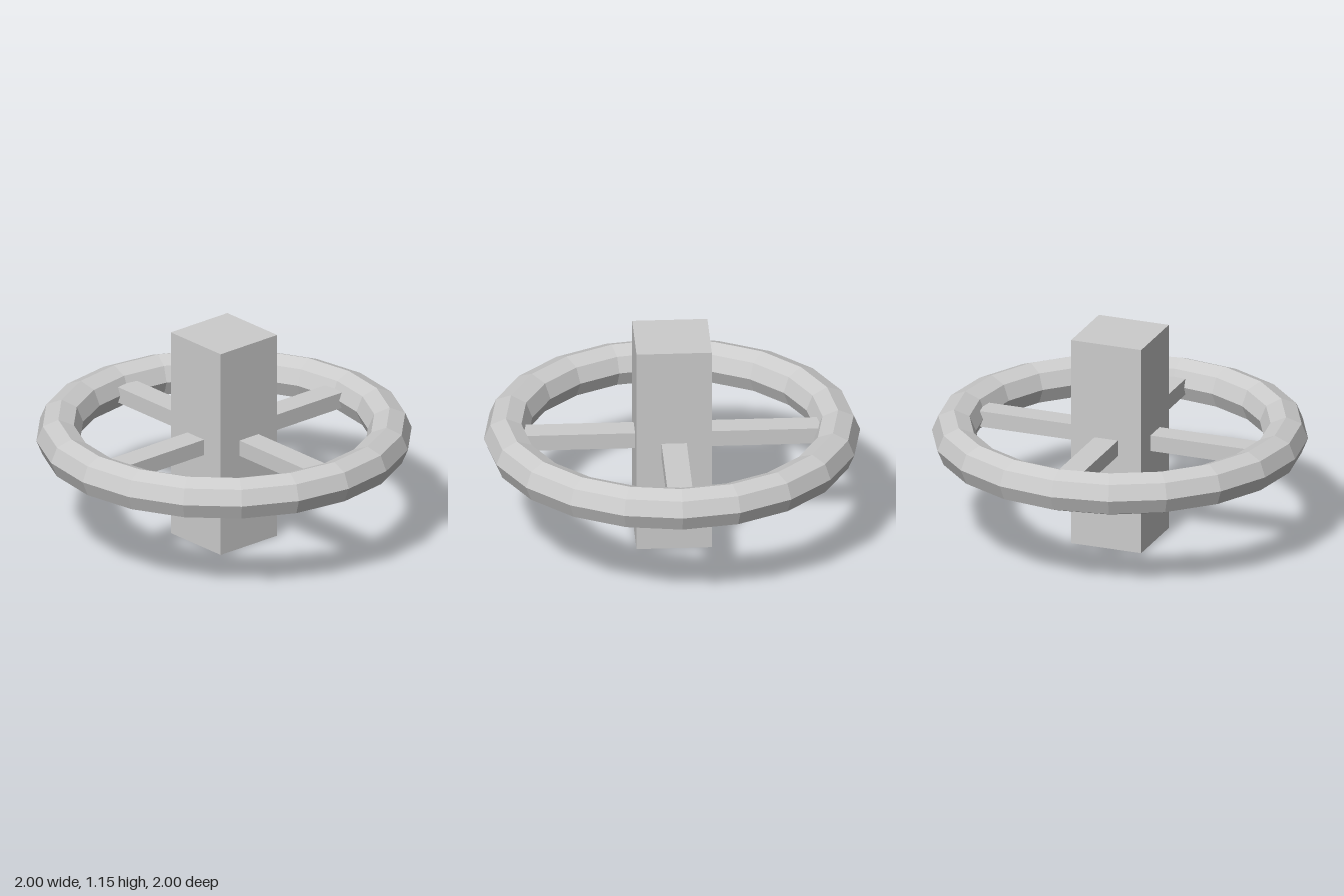
import * as THREE from 'three';

export function createModel() {
  const model = new THREE.Group();
  model.name = 'spokedRing';
  const grey = new THREE.MeshStandardMaterial({ color: 0xcccccc, flatShading: true });
  grey.name = 'light grey';

  const height = 1.155;
  const midY = height / 2;
  const tube = 0.117;
  const ringRadius = 1 - tube;

  const add = (name, geometry, parent = model) => {
    const mesh = new THREE.Mesh(geometry, grey);
    mesh.name = name;
    parent.add(mesh);
    return mesh;
  };

  // Square central column
  add('column', new THREE.BoxGeometry(0.4, height, 0.4)).position.y = midY;

  // Faceted ring lying flat around the column
  const ring = add('ring', new THREE.TorusGeometry(ringRadius, tube, 8, 20).rotateX(Math.PI / 2));
  ring.position.y = midY;

  // Four spokes running from just inside the column into the ring
  const spokes = new THREE.Group();
  spokes.name = 'spokes';
  spokes.position.y = midY;
  const inner = 0.19, outer = 0.84;
  for (let i = 0; i < 4; i++) {
    const geometry = new THREE.BoxGeometry(outer - inner, 0.088, 0.134);
    geometry.translate((inner + outer) / 2, 0, 0);
    add('spoke', geometry, spokes).rotation.y = (i * Math.PI) / 2;
  }
  model.add(spokes);

  return model;
}
